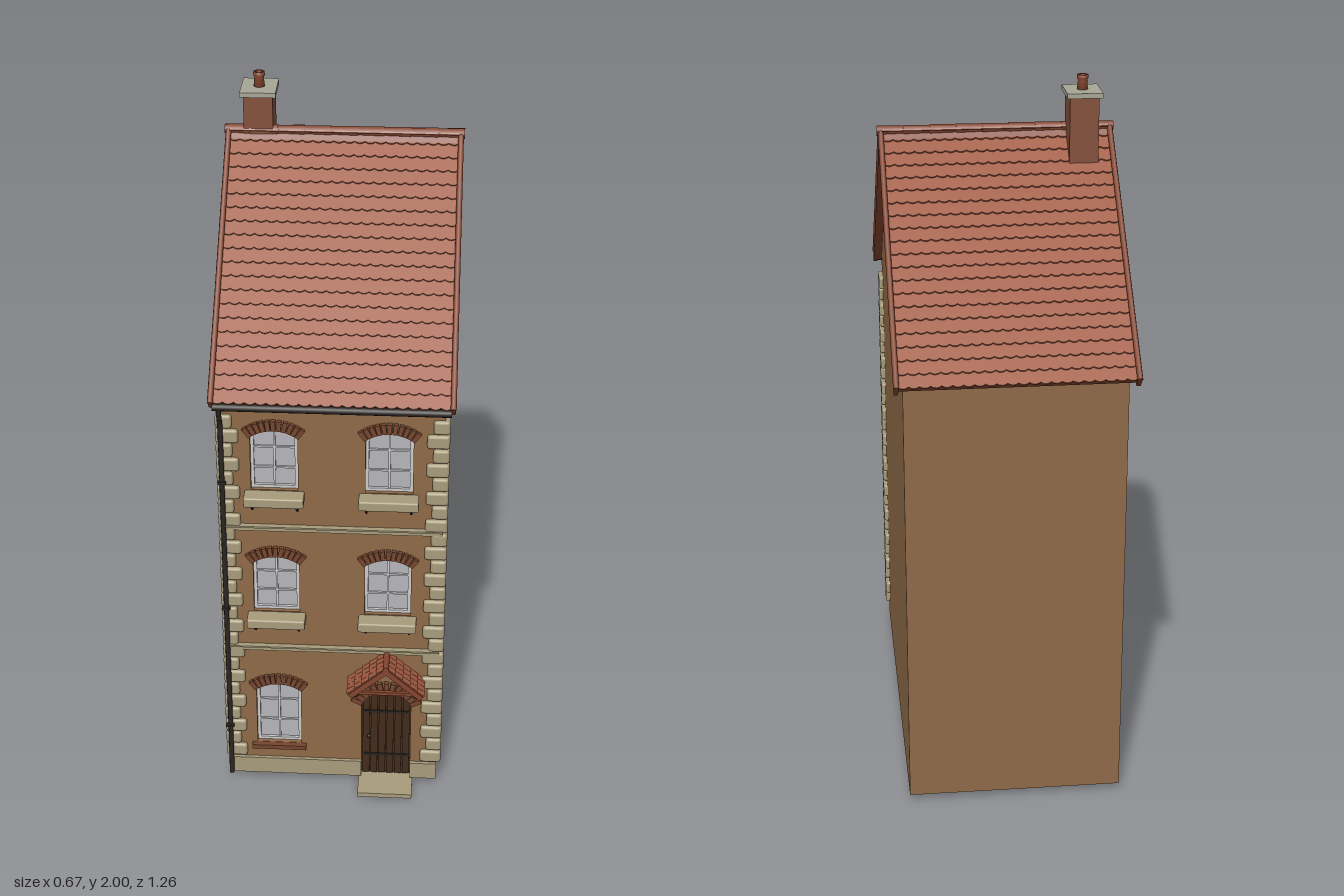
import * as THREE from 'three';
import { RoundedBoxGeometry } from 'three/addons/geometries/RoundedBoxGeometry.js';

const mat = (color) => new THREE.MeshStandardMaterial({ color });
const M = {
  wall: mat(0x8f6a48), lining: mat(0x8f846c), stone: mat(0xa89c7c), brick: mat(0x76462f),
  tile: mat(0xa05a40), trim: mat(0x84452f), chimney: mat(0x85503c), cap: mat(0xa6a696),
  door: mat(0x422b1b), iron: mat(0x2b2623), pane: mat(0xb4b4ba), frame: mat(0xcccccc),
};
const X = 0.305, F = 0.54, B = -0.575, Y0 = 0.02;   // wall half width, front, back, base
const RZ = -0.022, RY = 1.85, SLOPE = 0.735, L = 0.815; // ridge position, roof pitch and length
const wallTop = (z) => 1.82 - Math.abs(z - RZ) * Math.tan(SLOPE);

function add(parent, name, geo, m, x = 0, y = 0, z = 0) {
  const mesh = new THREE.Mesh(geo, m);
  mesh.name = name;
  mesh.position.set(x, y, z);
  parent.add(mesh);
  return mesh;
}
const box = (w, h, d) => new THREE.BoxGeometry(w, h, d);
const extrude = (shape, depth) => new THREE.ExtrudeGeometry(shape, { depth, bevelEnabled: false, curveSegments: 10 });
function group(parent, name, x = 0, y = 0, z = 0) {
  const g = new THREE.Group();
  g.name = name;
  g.position.set(x, y, z);
  parent.add(g);
  return g;
}
// Diagonal bar between two points
function bar(parent, name, a, b, t, m) {
  const p = new THREE.Vector3(...a), q = new THREE.Vector3(...b);
  const mesh = add(parent, name, box(t, t, p.distanceTo(q)), m);
  mesh.position.copy(p).add(q).multiplyScalar(0.5);
  mesh.lookAt(q);
}

// Opening with a segmental arch on top
function arch(hw, spring, rise) {
  const R = (hw * hw + rise * rise) / (2 * rise);
  return { hw, spring, R, cy: spring + rise - R, t: Math.asin(hw / R) };
}
function archShape(cx, bottom, a, Type = THREE.Shape) {
  const s = new Type();
  s.moveTo(cx - a.hw, bottom);
  s.lineTo(cx + a.hw, bottom);
  s.lineTo(cx + a.hw, a.spring);
  s.absarc(cx, a.cy, a.R, Math.PI / 2 - a.t, Math.PI / 2 + a.t, false);
  s.closePath();
  return s;
}
function brickArch(parent, cx, a, n, len) {
  const g = group(parent, 'brickArch', cx, a.cy, F);
  const w = (2 * a.t * (a.R + len / 2)) / n * 0.88;
  for (let i = 0; i < n; i++) {
    const t = ((i + 0.5) / n * 2 - 1) * a.t * 1.06, r = a.R + len / 2;
    add(g, 'archBrick', box(w, len, 0.024), M.brick, Math.sin(t) * r, Math.cos(t) * r, 0).rotation.z = -t;
  }
}

const DOOR = { x: 0.155, a: arch(0.072, 0.29, 0.045) };
const WINDOWS = [[-0.16, 0.13, 0.352, false], [-0.16, 0.605, 0.797, true], [0.155, 0.605, 0.797, true],
  [-0.16, 1.012, 1.205, true], [0.155, 1.012, 1.205, true]]
  .map(([x, bottom, top, sill]) => ({ x, bottom, top, sill, a: arch(0.065, top - 0.022, 0.022) }));

// Front wall outline with a door notch and window holes
function frontShape(hw, top) {
  const s = new THREE.Shape(), { x, a } = DOOR;
  s.moveTo(-hw, Y0);
  s.lineTo(x - a.hw, Y0);
  s.lineTo(x - a.hw, a.spring);
  s.absarc(x, a.cy, a.R, Math.PI / 2 + a.t, Math.PI / 2 - a.t, true);
  s.lineTo(x + a.hw, Y0);
  s.lineTo(hw, Y0);
  s.lineTo(hw, top);
  s.lineTo(-hw, top);
  s.closePath();
  for (const w of WINDOWS) s.holes.push(archShape(w.x, w.bottom, w.a, THREE.Path));
  return s;
}

function buildWalls(root) {
  const g = group(root, 'walls');
  add(g, 'frontWall', extrude(frontShape(X, wallTop(F)), 0.03), M.wall, 0, 0, F - 0.03);
  add(g, 'frontLining', extrude(frontShape(X - 0.03, wallTop(F)), 0.004), M.lining, 0, 0, F - 0.034);
  const zf = F - 0.03, side = new THREE.Shape();
  [[-zf, Y0], [-B, Y0], [-B, wallTop(B)], [-RZ, 1.82], [-zf, wallTop(zf)]]
    .forEach(([u, v], i) => (i ? side.lineTo(u, v) : side.moveTo(u, v)));
  for (const x of [-X, X - 0.03])
    add(g, 'gableWall', extrude(side, 0.03), M.wall, x, 0, 0).rotation.y = Math.PI / 2;
  const h = wallTop(B) - Y0;
  add(g, 'backWall', box(2 * X - 0.06, h, 0.03), M.wall, 0, Y0 + h / 2, B + 0.015);
}

function buildStonework(root) {
  const g = group(root, 'stonework');
  for (const y of [0.48, 0.89, 1.272]) {
    add(g, 'stringCourse', box(2 * X, 0.013, 0.016), M.stone, 0, y, F + 0.004);
    add(g, 'stringCourseLip', box(2 * X, 0.005, 0.024), M.stone, 0, y + 0.007, F + 0.004);
  }
  const l = DOOR.x - DOOR.a.hw, r = DOOR.x + DOOR.a.hw;
  for (const [a, b] of [[-X, l], [r, X]])
    add(g, 'plinth', box(b - a, 0.055, 0.016), M.stone, (a + b) / 2, Y0 + 0.0275, F + 0.002);
  // Corner stones alternating long and short
  const n = 26, pitch = 1.17 / n;
  const geos = [[0.062, 0.05], [0.045, 0.075]].map(([w, d]) => [w, d, new RoundedBoxGeometry(w, pitch - 0.004, d, 2, 0.008)]);
  for (const s of [-1, 1]) for (let i = 0; i < n; i++) {
    const [w, d, geo] = geos[i % 2];
    add(g, 'cornerStone', geo, M.stone, s * (0.318 - w / 2), 0.08 + (i + 0.5) * pitch, F + 0.012 - d / 2);
  }
}

function buildWindow(root, w) {
  const g = group(root, 'window');
  add(g, 'glass', extrude(archShape(w.x, w.bottom, w.a), 0.004), M.pane, 0, 0, F - 0.024);
  const inner = arch(w.a.hw - 0.009, w.a.spring - 0.004, 0.016);
  const rim = archShape(w.x, w.bottom, w.a);
  rim.holes.push(archShape(w.x, w.bottom + 0.009, inner, THREE.Path));
  add(g, 'windowFrame', extrude(rim, 0.01), M.frame, 0, 0, F - 0.022);
  const h = w.top - w.bottom;
  add(g, 'mullion', box(0.006, h - 0.008, 0.008), M.frame, w.x, w.bottom + h / 2, F - 0.018);
  for (const k of [1 / 3, 2 / 3])
    add(g, 'glazingBar', box(0.12, 0.005, 0.007), M.frame, w.x, w.bottom + h * k, F - 0.018);
  brickArch(g, w.x, w.a, 11, 0.03);
  if (!w.sill) {
    add(g, 'brickSill', box(0.16, 0.014, 0.026), M.brick, w.x, w.bottom - 0.008, F + 0.004);
    return;
  }
  add(g, 'sill', new RoundedBoxGeometry(0.165, 0.03, 0.05, 2, 0.005), M.stone, w.x, w.bottom - 0.016, F + 0.024);
  for (const s of [-1, 1]) {
    const x = w.x + s * 0.062, y = w.bottom - 0.031;
    add(g, 'sillBracket', box(0.006, 0.035, 0.006), M.iron, x, y - 0.016, F + 0.003);
    bar(g, 'sillBrace', [x, y - 0.03, F + 0.003], [x, y, F + 0.042], 0.005, M.iron);
  }
}

function buildDoor(root) {
  const g = group(root, 'entrance'), { x, a } = DOOR;
  add(g, 'door', extrude(archShape(x, Y0, a), 0.008), M.door, 0, 0, F - 0.024);
  for (let i = 0; i < 6; i++) {
    const u = (i - 2.5) * 0.0235, top = a.cy + Math.sqrt(a.R ** 2 - u * u) - 0.006;
    add(g, 'doorPlank', box(0.02, top - Y0, 0.006), M.door, x + u, (top + Y0) / 2, F - 0.013);
  }
  for (const y of [0.09, 0.25]) add(g, 'doorStrap', box(0.13, 0.008, 0.004), M.iron, x, y, F - 0.009);
  add(g, 'doorKnob', new THREE.SphereGeometry(0.006, 10, 8), M.iron, x - 0.05, 0.16, F - 0.006);
  brickArch(g, x, a, 13, 0.032);
  add(g, 'doorStep', box(0.16, 0.014, 0.1), M.stone, x, 0.007, F + 0.03);
  // Tiled gable canopy on brackets
  const pitch = Math.atan2(0.095, 0.107), len = 0.143;
  for (const s of [-1, 1]) {
    const half = group(g, 'canopySide', x, 0.475, F + 0.04);
    half.rotation.z = s * -pitch;
    add(half, 'canopyBoard', box(len, 0.01, 0.08), M.trim, s * len / 2, -0.008, 0);
    for (let r = 0; r < 5; r++) for (let c = 0; c < 4; c++)
      add(half, 'canopyTile', box(0.036, 0.006, 0.02), M.tile, s * (0.016 + r * 0.028), 0, -0.031 + c * 0.021).rotation.z = s * 0.12;
    add(half, 'canopyBargeBoard', box(len, 0.016, 0.008), M.trim, s * len / 2, -0.007, 0.042);
    const bx = x + s * 0.085;
    add(g, 'canopyBeam', box(0.01, 0.01, 0.08), M.door, bx, 0.375, F + 0.04);
    add(g, 'canopyPost', box(0.01, 0.06, 0.01), M.door, bx, 0.345, F + 0.005);
    bar(g, 'canopyBrace', [bx, 0.322, F + 0.005], [bx, 0.373, F + 0.065], 0.008, M.door);
  }
  add(g, 'canopyTie', box(0.18, 0.01, 0.01), M.trim, x, 0.382, F + 0.072);
  const ridge = add(g, 'canopyRidge', new THREE.CylinderGeometry(0.009, 0.009, 0.088, 10), M.trim, x, 0.473, F + 0.042);
  ridge.rotation.x = Math.PI / 2;
}

// One course of tiles with a scalloped lower edge
function tileCourse(width, cols, len) {
  const s = new THREE.Shape(), p = width / cols;
  s.moveTo(-width / 2, 0);
  for (let i = 0; i < cols; i++) {
    const x = -width / 2 + i * p;
    s.lineTo(x, -len + 0.006);
    s.quadraticCurveTo(x + p / 2, -len - 0.006, x + p, -len + 0.006);
  }
  s.lineTo(width / 2, 0);
  s.closePath();
  return new THREE.ExtrudeGeometry(s, { depth: 0.005, bevelEnabled: false, curveSegments: 4 }).rotateX(-Math.PI / 2);
}

function buildRoof(root) {
  const g = group(root, 'roof', 0, RY, RZ);
  const rows = 20, pitch = L / rows, course = tileCourse(0.64, 22, pitch + 0.012);
  for (const turn of [0, Math.PI]) {
    const face = group(g, 'roofSide');
    face.rotation.set(SLOPE, turn, 0, 'YXZ');
    add(face, 'roofBoard', box(0.64, 0.022, L - 0.01), M.trim, 0, -0.024, L / 2 - 0.005);
    for (let i = 0; i < rows; i++)
      add(face, 'tileCourse', course, M.tile, 0, -0.014, i * pitch - 0.012).rotation.x = -0.12;
    for (const s of [-1, 1]) {
      add(face, 'bargeBoard', box(0.012, 0.038, L), M.trim, s * 0.324, -0.017, L / 2);
      add(face, 'vergeCapping', new THREE.CylinderGeometry(0.008, 0.008, L, 8), M.trim, s * 0.324, 0, L / 2).rotation.x = Math.PI / 2;
    }
  }
  const n = 9, w = 0.67 / n;
  for (let i = 0; i < n; i++)
    add(g, 'ridgeTile', new THREE.CylinderGeometry(0.013, 0.015, w, 12), M.trim, (i + 0.5) * w - 0.335, -0.005, 0).rotation.z = Math.PI / 2;
}

function buildChimney(root) {
  const g = group(root, 'chimney', -0.24, 0, -0.06);
  add(g, 'chimneyStack', box(0.082, 0.25, 0.102), M.chimney, 0, 1.825, 0);
  add(g, 'chimneyCap', box(0.1, 0.014, 0.12), M.cap, 0, 1.952, 0);
  const pts = [[0, 1.955], [0.016, 1.955], [0.013, 1.985], [0.016, 1.99], [0.016, 2], [0.009, 2], [0.009, 1.965], [0, 1.965]];
  add(g, 'chimneyPot', new THREE.LatheGeometry(pts.map((p) => new THREE.Vector2(...p)), 16), M.trim);
}

function buildRainwater(root) {
  const g = group(root, 'rainwater');
  const gutter = add(g, 'gutter', new THREE.CylinderGeometry(0.011, 0.011, 0.64, 10), M.iron, 0, 1.287, 0.572);
  gutter.rotation.z = Math.PI / 2;
  const path = new THREE.CatmullRomCurve3([[1.285, 0.575], [1.262, 0.572], [1.225, 0.556], [1.18, 0.554], [0.6, 0.554], [0.06, 0.554], [0.025, 0.56]]
    .map(([y, z]) => new THREE.Vector3(-0.303, y, z)));
  add(g, 'downpipe', new THREE.TubeGeometry(path, 60, 0.007, 8), M.iron);
  for (const y of [0.2, 0.62, 1.04]) add(g, 'pipeClip', box(0.022, 0.008, 0.018), M.iron, -0.303, y, 0.553);
}

export function createModel() {
  const root = new THREE.Group();
  root.name = 'townHouse';
  buildWalls(root);
  buildStonework(root);
  WINDOWS.forEach((w) => buildWindow(root, w));
  buildDoor(root);
  buildRoof(root);
  buildChimney(root);
  buildRainwater(root);
  return root;
}
